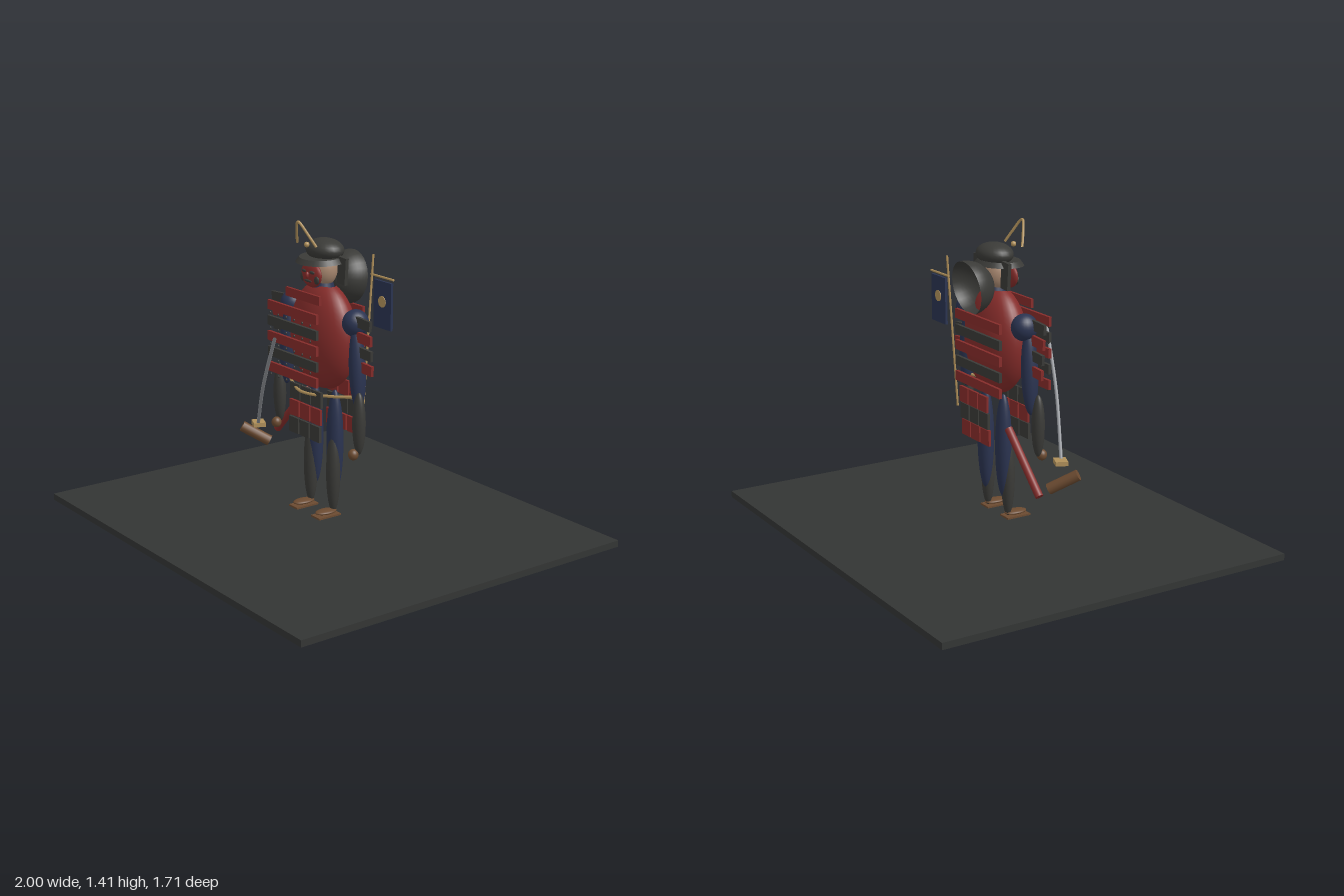
import * as THREE from 'three';

const mat = (color) => new THREE.MeshStandardMaterial({ color, side: THREE.DoubleSide });
const DARK = mat(0x3a3a37), RED = mat(0x852c2a), BLUE = mat(0x2a3350), GOLD = mat(0xb0905a),
  BROWN = mat(0x6b4a30), SKIN = mat(0xa88870), STEEL = mat(0x8c8f94), GROUND = mat(0x333534);
const V = (x, y, z) => new THREE.Vector3(x, y, z);

export function createModel() {
  const root = new THREE.Group();

  const add = (name, geo, material, x = 0, y = 0, z = 0, parent = root) => {
    const mesh = new THREE.Mesh(geo, material);
    mesh.name = name;
    mesh.position.set(x, y, z);
    parent.add(mesh);
    return mesh;
  };
  const box = (name, w, h, d, m, x, y, z, parent) => add(name, new THREE.BoxGeometry(w, h, d), m, x, y, z, parent);
  const ellipsoid = (name, rx, ry, rz, m, x, y, z, parent) => {
    const mesh = add(name, new THREE.SphereGeometry(1, 24, 16), m, x, y, z, parent);
    mesh.scale.set(rx, ry, rz);
    return mesh;
  };
  const rod = (name, a, b, r, m, parent) => {
    const mesh = add(name, new THREE.CylinderGeometry(r, r, a.distanceTo(b), 14), m, 0, 0, 0, parent);
    mesh.position.copy(a).lerp(b, 0.5);
    mesh.quaternion.setFromUnitVectors(V(0, 1, 0), b.clone().sub(a).normalize());
    return mesh;
  };
  const cord = (name, pts, r, m) =>
    add(name, new THREE.TubeGeometry(new THREE.CatmullRomCurve3(pts), 32, r, 8), m);
  const group = (name) => {
    const g = new THREE.Group();
    g.name = name;
    root.add(g);
    return g;
  };

  // Display slab
  box('ground', 2, 0.03, 1.71, GROUND, 0, 0.015, 0);

  // Legs, arms and shoulder guards, mirrored
  for (const s of [-1, 1]) {
    const leg = group(s > 0 ? 'leftLeg' : 'rightLeg');
    ellipsoid('thigh', 0.042, 0.24, 0.036, BLUE, s * 0.075, 0.41, 0.003, leg);
    ellipsoid('shinGuard', 0.035, 0.19, 0.03, DARK, s * 0.085, 0.27, 0.02, leg);
    ellipsoid('foot', 0.032, 0.011, 0.055, BROWN, s * 0.085, 0.093, 0.06, leg);
    box('sandal', 0.065, 0.008, 0.12, BROWN, s * 0.085, 0.076, 0.06, leg);

    const arm = group(s > 0 ? 'leftArm' : 'rightArm');
    ellipsoid('shoulder', 0.055, 0.06, 0.06, BLUE, s * 0.23, 0.985, 0.01, arm);
    const upper = ellipsoid('upperArm', 0.036, 0.19, 0.038, BLUE, s * 0.258, 0.79, 0.02, arm);
    upper.rotation.z = s * 0.06;
    ellipsoid('forearm', 0.032, 0.14, 0.028, DARK, s * 0.297, 0.555, 0.04, arm);
    ellipsoid('hand', 0.023, 0.025, 0.023, BROWN, s * 0.29, 0.418, 0.065, arm);

    const guard = group(s > 0 ? 'leftShoulderGuard' : 'rightShoulderGuard');
    for (let i = 0; i < 4; i++) {
      const plate = box('shoulderPlate', 0.13, 0.045, 0.014, i % 2 ? RED : DARK,
        s * 0.295, 1.0 - i * 0.066, 0.03 - i * 0.004, guard);
      plate.rotation.z = s * -0.06;
    }
  }

  // Torso: profile cut flat at neck and waist, flattened front to back
  const profile = [];
  for (let i = 0; i <= 20; i++) {
    const a = -1.2 + (i / 20) * 2.4;
    profile.push(new THREE.Vector2(0.2 * Math.cos(a), 0.245 * Math.sin(a)));
  }
  const torso = add('torso', new THREE.LatheGeometry(profile, 32), RED, 0, 0.885, 0.01);
  torso.scale.z = 0.55;

  // Horizontal armour plates, front and back, with lacing
  const chest = group('chestPlates');
  box('collarPlate', 0.25, 0.04, 0.012, RED, -0.035, 1.065, 0.095, chest);
  const backPlates = group('backPlates');
  for (let i = 0; i < 5; i++) {
    const m = i % 2 ? DARK : RED, y = 0.995 - i * 0.071;
    box('frontPlate', 0.365, 0.043, 0.014, m, -0.06, y, 0.135, chest);
    box('backPlate', 0.365, 0.043, 0.014, m, -0.065, y, -0.122, backPlates);
    for (let j = 0; j < 6; j++)
      ellipsoid('lacing', 0.004, 0.006, 0.004, DARK, -0.21 + j * 0.06, y - 0.03, 0.148, chest);
  }

  // Hanging skirt panels
  const skirt = group('skirt');
  for (const side of [1, -1])
    for (let c = -1; c <= 1; c++)
      for (let r = 0; r < 3; r++)
        box('skirtPlate', 0.07, 0.072, 0.012, (r % 2 === 0) === (side > 0) ? DARK : RED,
          c * 0.08, 0.625 - r * 0.078, side * 0.105 + (side > 0 ? 0.004 * r : 0.006 * r), skirt);
  cord('beltCord', [V(-0.28, 0.665, 0.01), V(-0.15, 0.648, 0.075), V(0, 0.642, 0.125),
    V(0.15, 0.648, 0.075), V(0.28, 0.665, 0.01)], 0.007, GOLD);

  // Head and face mask
  add('neck', new THREE.CylinderGeometry(0.035, 0.07, 0.12, 20), BLUE, 0, 1.09, 0.01);
  ellipsoid('head', 0.065, 0.08, 0.06, SKIN, 0, 1.185, 0.01);
  ellipsoid('faceMask', 0.07, 0.056, 0.022, RED, 0, 1.165, 0.075);
  for (const s of [-1, 1]) {
    ellipsoid('maskEye', 0.018, 0.007, 0.006, DARK, s * 0.028, 1.18, 0.093);
    ellipsoid('maskCheek', 0.016, 0.02, 0.008, DARK, s * 0.05, 1.15, 0.085);
  }
  ellipsoid('maskMouth', 0.025, 0.006, 0.006, DARK, 0, 1.14, 0.094);
  ellipsoid('maskNose', 0.009, 0.015, 0.01, RED, 0, 1.165, 0.097);

  // Helmet
  const helmet = group('helmet');
  ellipsoid('helmetBowl', 0.098, 0.05, 0.077, DARK, 0, 1.268, 0.003, helmet);
  const brim = add('helmetBrim', new THREE.CylinderGeometry(0.1, 0.118, 0.022, 32), DARK, 0, 1.23, 0.025, helmet);
  brim.scale.z = 0.92;
  brim.rotation.x = 0.04;
  for (const s of [-1, 1]) {
    const flap = box('helmetFlap', 0.055, 0.12, 0.016, DARK, s * 0.112, 1.19, -0.01, helmet);
    flap.rotation.z = s * -0.08;
  }
  // Open half shell behind the neck
  const shell = add('neckGuard', new THREE.SphereGeometry(1, 28, 12, 0, Math.PI * 2, 0, Math.PI / 2), DARK,
    0, 1.13, -0.14, helmet);
  shell.scale.set(0.12, 0.12, 0.122);
  shell.geometry.rotateX(Math.PI / 2);
  shell.rotation.x = -0.14;

  // Forked gold crest
  cord('crest', [V(-0.07, 1.3, 0.1), V(-0.045, 1.345, 0.12), V(0, 1.405, 0.145),
    V(0.045, 1.345, 0.12), V(0.07, 1.3, 0.1)], 0.006, GOLD);
  ellipsoid('crestStud', 0.012, 0.012, 0.012, GOLD, 0, 1.3, 0.1);

  // Back banner on a leaning pole
  rod('bannerPole', V(0.14, 1.25, -0.155), V(0.14, 0.56, -0.105), 0.005, GOLD);
  rod('bannerCrossbar', V(0.13, 1.16, -0.152), V(0.285, 1.16, -0.152), 0.005, GOLD);
  box('banner', 0.12, 0.21, 0.012, BLUE, 0.222, 1.04, -0.147);
  const disc = add('bannerDisc', new THREE.CylinderGeometry(0.025, 0.025, 0.018, 24), GOLD, 0.222, 1.055, -0.147);
  disc.rotation.x = Math.PI / 2;

  // Sword and scabbard
  const tip = V(0.04, 0.92, 0.3), heel = V(-0.36, 0.4, 0.12);
  const middle = tip.clone().lerp(heel, 0.5).add(V(0, -0.01, 0.015));
  cord('blade', [heel, middle, tip], 0.008, STEEL);
  const guard = box('swordGuard', 0.065, 0.02, 0.055, GOLD, -0.37, 0.4, 0.11);
  guard.rotation.y = -0.4;
  rod('swordGrip', V(-0.47, 0.365, 0.135), V(-0.39, 0.295, 0.035), 0.025, BROWN);
  rod('scabbard', V(-0.485, 0.31, -0.075), V(-0.26, 0.555, -0.088), 0.018, RED);

  return root;
}
